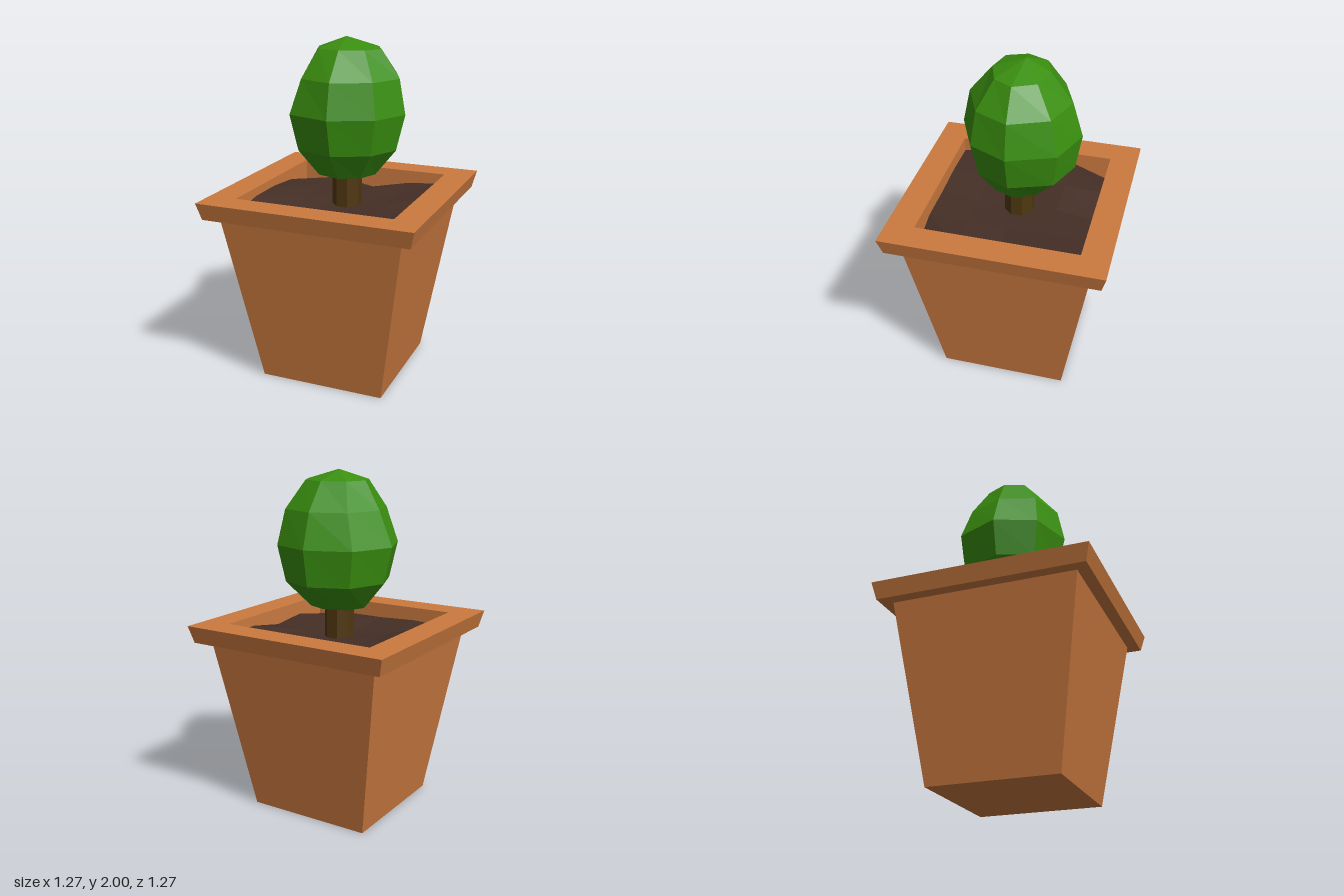
import * as THREE from 'three';

const material = (name, color, extra = {}) => {
  const m = new THREE.MeshStandardMaterial({ color, flatShading: true, ...extra });
  m.name = name;
  return m;
};

// Eight-sided faceted crown: each ring is [y, left, right, back, front]
function crownGeometry() {
  const rings = [
    [1.215, -0.165, 0.18, -0.17, 0.15],
    [1.37, -0.295, 0.305, -0.335, 0.26],
    [1.58, -0.345, 0.357, -0.37, 0.307],
    [1.78, -0.26, 0.32, -0.31, 0.265],
    [1.94, -0.17, 0.21, -0.19, 0.135],
  ];
  const positions = [];
  for (const [y, l, r, b, f] of rings) {
    const cx = 0.015, cz = -0.02;
    positions.push(
      cx, y, b, r * 0.71, y, b * 0.76, r, y, cz, r * 0.72, y, f * 0.64,
      cx, y, f, l * 0.72, y, f * 0.72, l, y, cz, l * 0.7, y, b * 0.74,
    );
  }
  const bottom = rings.length * 8, top = bottom + 1;
  positions.push(0.01, 1.19, -0.02, -0.01, 2.0, -0.045);
  const index = [];
  for (let i = 0; i < 8; i++) {
    const j = (i + 1) % 8;
    for (let k = 0; k < rings.length - 1; k++) {
      const a = k * 8 + i, b = k * 8 + j;
      index.push(a, a + 8, b + 8, a, b + 8, b);
    }
    index.push(i, j, bottom, bottom - 8 + i, top, bottom - 8 + j);
  }
  const g = new THREE.BufferGeometry();
  g.setAttribute('position', new THREE.Float32BufferAttribute(positions, 3));
  g.setIndex(index);
  g.computeVertexNormals();
  return g;
}

// Uneven soil, heights listed from the back row to the front row
function soilGeometry() {
  const heights = [
    0.97, 1.04, 1.0, 1.05, 1.07,
    1.06, 1.05, 1.04, 1.04, 1.07,
    1.08, 1.04, 1.02, 1.03, 1.03,
    1.08, 1.03, 1.02, 1.04, 1.05,
    1.04, 1.05, 1.04, 1.04, 0.97,
  ];
  const g = new THREE.PlaneGeometry(0.94, 0.94, 4, 4);
  heights.forEach((h, i) => g.attributes.position.setZ(i, h));
  g.rotateX(-Math.PI / 2);
  g.computeVertexNormals();
  return g;
}

export function createModel() {
  const group = new THREE.Group();
  group.name = 'pottedTopiary';
  const add = (name, geometry, mat) => {
    const mesh = new THREE.Mesh(geometry, mat);
    mesh.name = name;
    group.add(mesh);
    return mesh;
  };

  // Square tapered pot with overhanging rim and inner wall
  const profile = [
    [0, 0], [0.375, 0], [0.54, 1.03], [0.61, 1.03], [0.635, 1.13], [0.47, 1.13], [0.47, 0.92],
  ].map(([half, y]) => new THREE.Vector2(half * Math.SQRT2, y));
  add('pot', new THREE.LatheGeometry(profile, 4, Math.PI / 4),
    material('terracotta', 0xcb7a40, { side: THREE.DoubleSide }));

  add('soil', soilGeometry(), material('darkSoil', 0x452f26, { side: THREE.DoubleSide }));

  // Trunk
  const trunk = add('trunk', new THREE.CylinderGeometry(0.088, 0.088, 0.28, 8), material('bark', 0x503710));
  trunk.position.set(0.006, 1.1, -0.015);
  trunk.rotation.y = Math.PI / 8;

  add('crown', crownGeometry(), material('leafGreen', 0x3a8f10));
  return group;
}
